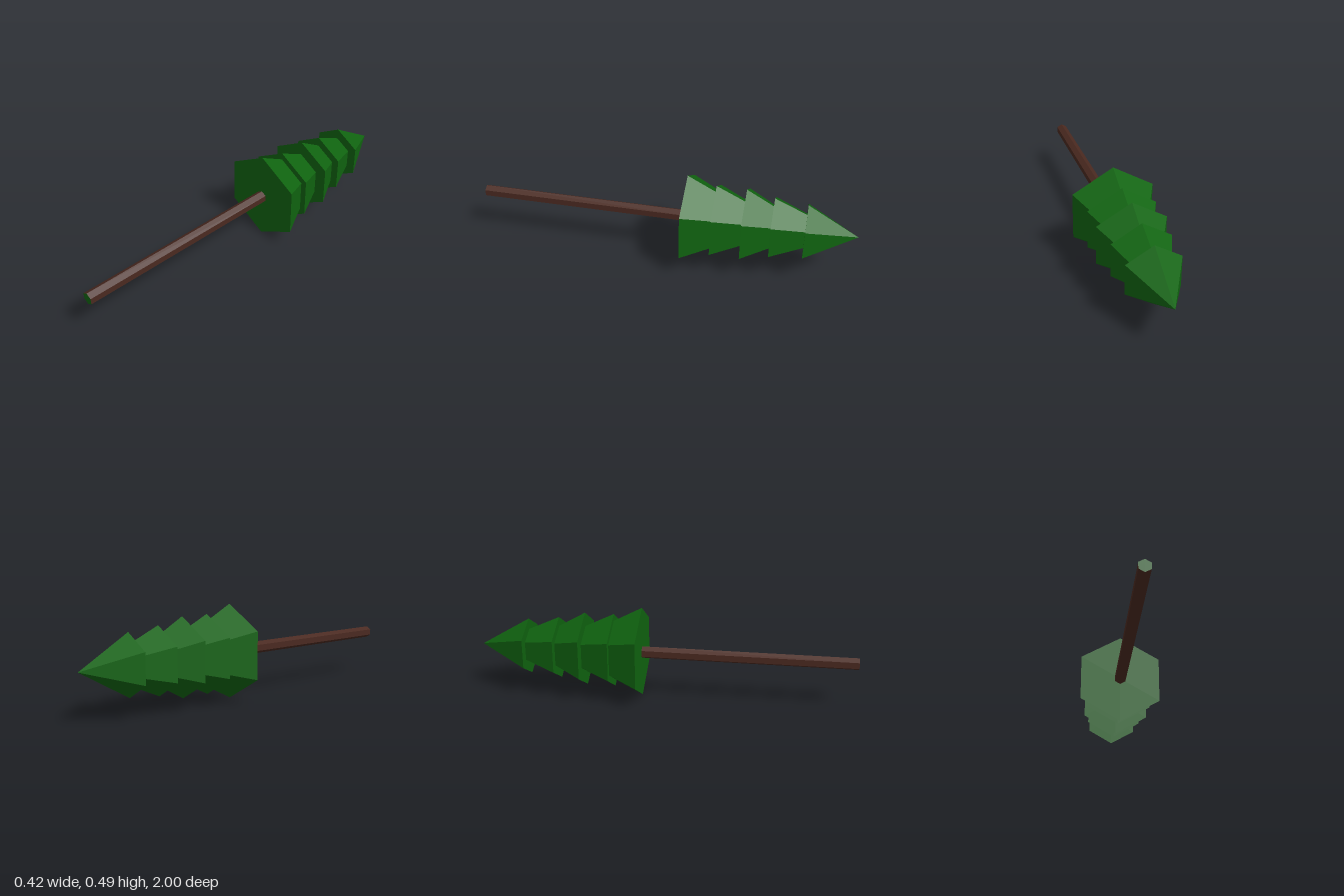
import * as THREE from 'three';

export function createModel() {
  const green = new THREE.MeshStandardMaterial({ color: 0x106410, flatShading: true });
  green.name = 'needle green';
  const brown = new THREE.MeshStandardMaterial({ color: 0x4a2920, flatShading: true });
  brown.name = 'bark brown';

  const model = new THREE.Group();
  model.name = 'pineTree';
  const axisY = 0.245;

  // The tree lies along z: +y of each part is turned to point at -z
  function add(name, geometry, material, zStart, length) {
    geometry.translate(0, length / 2, 0);
    geometry.rotateX(-Math.PI / 2);
    const mesh = new THREE.Mesh(geometry, material);
    mesh.name = name;
    mesh.position.set(0, axisY, zStart);
    model.add(mesh);
  }

  // Hexagonal trunk with a green cut end
  const trunkLength = 1.16;
  add('trunk', new THREE.CylinderGeometry(0.032, 0.032, trunkLength, 6),
    [brown, green, green], 1, trunkLength);

  // Overlapping foliage cones: base z, radius, height
  const tiers = [
    [-0.12, 0.245, 0.47],
    [-0.27, 0.204, 0.42],
    [-0.424, 0.204, 0.36],
    [-0.567, 0.172, 0.385],
    [-0.735, 0.155, 0.265],
  ];
  tiers.forEach(([z, radius, height], i) =>
    add(`foliageTier${i + 1}`, new THREE.ConeGeometry(radius, height, 6), green, z, height));

  return model;
}
